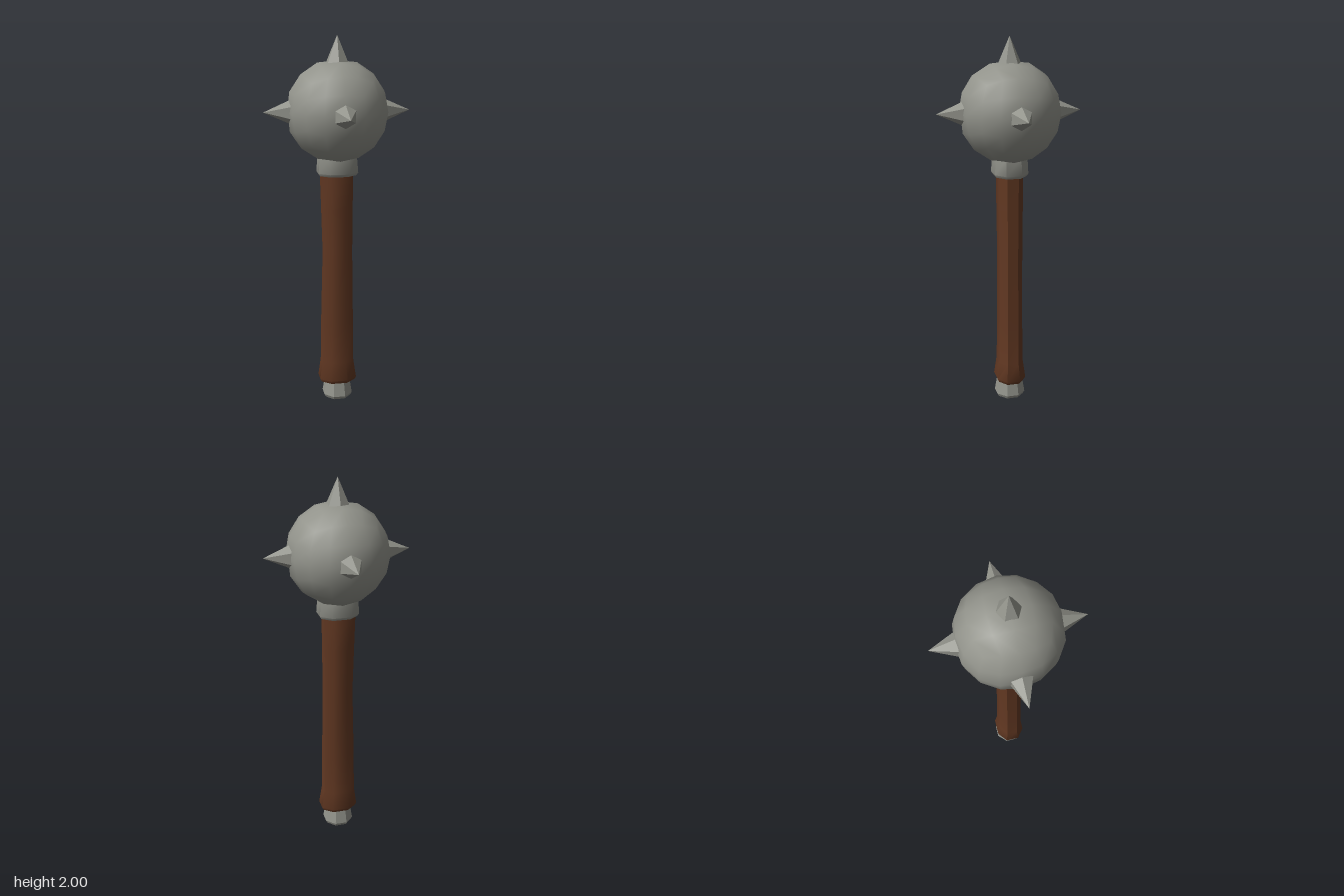
import * as THREE from 'three';
import { toCreasedNormals } from 'three/addons/utils/BufferGeometryUtils.js';

const steel = new THREE.MeshStandardMaterial({ color: 0x92938b });
steel.name = 'steel';
const wood = new THREE.MeshStandardMaterial({ color: 0x623822 });
wood.name = 'wood';

const HEAD_Y = 1.615;

// Lofts eight-sided rings [y, halfWidth, halfDepth, centreX], bottom to top, with end caps.
function loft(rings, crease, inset = 0.46) {
  const pos = [];
  const index = [];
  for (const [y, w, d, cx = 0] of rings) {
    const a = w * inset, b = d * inset;
    const ring = [[w, b], [a, d], [-a, d], [-w, b], [-w, -b], [-a, -d], [a, -d], [w, -b]];
    for (const [x, z] of ring) pos.push(x + cx, y, z);
  }
  for (let r = 0; r < rings.length - 1; r++) {
    for (let i = 0; i < 8; i++) {
      const a = r * 8 + i, b = r * 8 + (i + 1) % 8;
      index.push(a, a + 8, b, b, a + 8, b + 8);
    }
  }
  const top = (rings.length - 1) * 8;
  for (let i = 1; i < 7; i++) {
    index.push(0, i, i + 1);
    index.push(top, top + i + 1, top + i);
  }
  const geo = new THREE.BufferGeometry();
  geo.setAttribute('position', new THREE.Float32BufferAttribute(pos, 3));
  geo.setIndex(index);
  return toCreasedNormals(geo, crease);
}

// Cube grid rounded into a ball, smooth shaded
function ballGeometry(radius) {
  const geo = new THREE.BoxGeometry(2, 2, 2, 4, 4, 4);
  const p = geo.attributes.position;
  const n = geo.attributes.normal;
  const v = new THREE.Vector3();
  const bend = (t) => Math.tan(t * Math.PI / 4);
  for (let i = 0; i < p.count; i++) {
    v.fromBufferAttribute(p, i);
    v.set(bend(v.x), bend(v.y), bend(v.z));
    // face centres sit slightly lower than the rest
    const centre = v.lengthSq() < 1.01;
    v.normalize();
    n.setXYZ(i, v.x, v.y, v.z);
    v.multiplyScalar(centre ? radius * 0.96 : radius);
    p.setXYZ(i, v.x, v.y, v.z);
  }
  return geo;
}

export function createModel() {
  const model = new THREE.Group();
  model.name = 'spikedMace';

  const add = (name, geometry, material, parent = model) => {
    const mesh = new THREE.Mesh(geometry, material);
    mesh.name = name;
    parent.add(mesh);
    return mesh;
  };

  // Pommel: tapered octagonal cap with a chamfered foot
  add('pommel', loft([
    [0, 0.07, 0.07], [0.018, 0.079, 0.079], [0.13, 0.062, 0.062],
  ], 0.3, 0.414), steel);

  // Handle: waisted grip with a flared end
  add('handle', loft([
    [0.097, 0.092, 0.072], [0.115, 0.102, 0.08], [0.22, 0.088, 0.066, -0.001],
    [0.45, 0.085, 0.063, -0.001], [0.85, 0.077, 0.062, 0.001],
    [1.1, 0.081, 0.064, -0.002], [1.3, 0.085, 0.066, -0.004],
  ], 0.85), wood);

  // Collar between grip and head
  add('collar', loft([
    [1.28, 0.097, 0.08], [1.295, 0.106, 0.09], [1.39, 0.098, 0.085],
  ], 0.85), steel);

  // Head with five spikes
  const head = new THREE.Group();
  head.name = 'head';
  head.position.y = HEAD_Y;
  model.add(head);
  add('ball', ballGeometry(0.269), steel, head);

  const spike = toCreasedNormals(
    new THREE.ConeGeometry(0.062, 0.14, 6).translate(0, 0.315, 0), 0.2);
  add('topSpike', spike, steel, head);
  ['frontSpike', 'leftSpike', 'backSpike', 'rightSpike'].forEach((name, i) => {
    const side = add(name, spike, steel, head);
    side.rotation.set(Math.PI / 2, i * Math.PI / 2, 0, 'YXZ');
  });

  return model;
}
